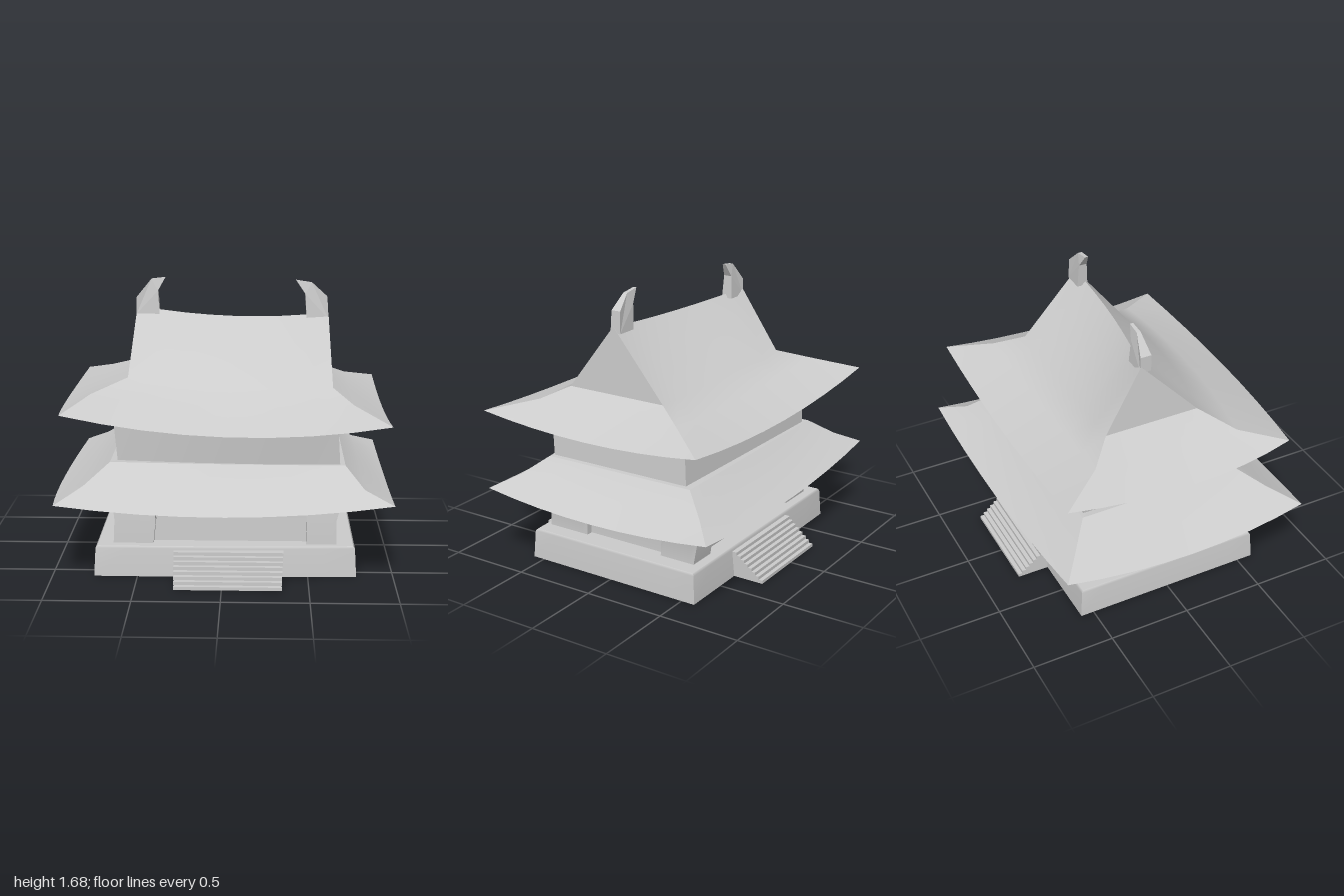
import * as THREE from 'three';

const material = new THREE.MeshStandardMaterial({ color: 0xcccccc, side: THREE.DoubleSide });
const V = (p) => new THREE.Vector3(...p);

// Ring of 8 points: frontLeft, front, frontRight, right, backRight, back, backLeft, left.
// Middle points default to the average of their corners.
function ring(corners, mids = []) {
  const out = [];
  corners.forEach((c, i) => {
    const a = V(c), b = V(corners[(i + 1) % 4]);
    out.push(a, mids[i] ? V(mids[i]) : a.clone().add(b).multiplyScalar(0.5));
  });
  return out;
}

// Level rectangular ring
const rect = (x0, x1, zFront, zBack, y) =>
  ring([[x0, y, zFront], [x1, y, zFront], [x1, y, zBack], [x0, y, zBack]]);

// Smooth sheet through rows of [left, middle, right], each row a parabola
function panel(rows, cols = 8) {
  const pos = [], idx = [];
  rows.forEach(([l, m, r]) => {
    for (let i = 0; i <= cols; i++) {
      const t = (i / cols) * 2 - 1;
      const p = l.clone().multiplyScalar((t * (t - 1)) / 2)
        .addScaledVector(m, 1 - t * t).addScaledVector(r, (t * (t + 1)) / 2);
      pos.push(p.x, p.y, p.z);
    }
  });
  for (let j = 0; j < rows.length - 1; j++) {
    for (let i = 0; i < cols; i++) {
      const a = j * (cols + 1) + i, b = a + 1, c = a + cols + 1, d = c + 1;
      idx.push(a, b, d, a, d, c);
    }
  }
  const g = new THREE.BufferGeometry();
  g.setAttribute('position', new THREE.Float32BufferAttribute(pos, 3));
  g.setIndex(idx);
  g.computeVertexNormals();
  return g;
}

function add(parent, name, geometry) {
  const mesh = new THREE.Mesh(geometry, material);
  mesh.name = name;
  parent.add(mesh);
  return mesh;
}

const side = (r, i) => [r[2 * i], r[2 * i + 1], r[(2 * i + 2) % 8]];

// Four panels joining a stack of rings, with sharp corners between them
function loft(parent, name, rings, cap = false) {
  const group = new THREE.Group();
  group.name = name;
  parent.add(group);
  ['Front', 'Right', 'Back', 'Left'].forEach((s, i) =>
    add(group, name + s, panel(rings.map((r) => side(r, i)))));
  if (cap) {
    const lid = (r) => panel([side(r, 0), [r[6], r[5], r[4]]]);
    add(group, name + 'Top', lid(rings[rings.length - 1]));
    const b = rings[0];
    add(group, name + 'Bottom', panel([[b[6], b[5], b[4]], side(b, 0)]));
  }
  return group;
}

// Flight of steps as closed boxes; dir is +1 for front, -1 for back
function stairs(parent, name, zWall, zEnd, dir) {
  const group = new THREE.Group();
  group.name = name;
  parent.add(group);
  const n = 8, h = 0.16 / n, run = (zEnd - zWall) / n;
  for (let i = 0; i < n; i++) {
    const depth = run * (n - i) + 0.06, w = 0.62 + 0.003 * i;
    const step = add(group, 'step', new THREE.BoxGeometry(w, h, depth));
    step.position.set(0.035, h * (i + 0.5), dir * (zWall - 0.06 + depth / 2));
  }
}

// Curled ridge ornament, narrowing toward its tip
function ornament(parent, name, pts, z) {
  const shape = new THREE.Shape(pts.map((p) => new THREE.Vector2(...p)));
  const g = new THREE.ExtrudeGeometry(shape, { depth: 1, bevelEnabled: false });
  const p = g.attributes.position;
  for (let i = 0; i < p.count; i++) {
    const k = THREE.MathUtils.clamp((p.getY(i) - 1.56) / 0.12, 0, 1);
    p.setZ(i, z + (p.getZ(i) - 0.5) * THREE.MathUtils.lerp(0.068, 0.02, k));
  }
  g.computeVertexNormals();
  add(parent, name, g);
}

export function createModel() {
  const model = new THREE.Group();
  model.name = 'templeHall';

  // Stone base and stairs
  const baseRing = (y, s) => ring(
    [[-0.755 + s, y, 0.6 - s], [0.785 - s, y, 0.575 - s], [0.785 - s, y, -0.585 + s], [-0.755 + s, y, -0.58 + s]],
    [[0.03, y, 0.6 - s]]);
  loft(model, 'base', [baseRing(0, 0), baseRing(0.17, 0.01), baseRing(0.182, 0.02)], true);
  stairs(model, 'frontStairs', 0.6, 0.82, 1);
  stairs(model, 'backStairs', 0.58, 0.775, -1);

  // Lower walls, recessed between four waisted corner piers
  loft(model, 'lowerWall', [
    rect(-0.6, 0.63, 0.475, -0.46, 0.17),
    rect(-0.595, 0.625, 0.47, -0.48, 0.32),
    rect(-0.605, 0.65, 0.465, -0.485, 0.48),
  ]);
  const levels = [0.17, 0.32, 0.48];
  const pierX = [[[-0.645, -0.41], [-0.638, -0.395], [-0.655, -0.42]], [[0.49, 0.67], [0.495, 0.665], [0.475, 0.71]]];
  const pierZ = [[[0.53, 0.25], [0.525, 0.25], [0.51, 0.23]], [[-0.28, -0.505], [-0.285, -0.53], [-0.27, -0.535]]];
  for (const px of pierX) for (const pz of pierZ) {
    loft(model, 'cornerPier', levels.map((y, i) => rect(...px[i], ...pz[i], y)));
  }

  // Lower roof with upturned corners
  const lowerEave = ring(
    [[-0.955, 0.49, 0.8], [0.985, 0.482, 0.735], [0.98, 0.483, -0.785], [-0.95, 0.487, -0.75]],
    [[0.02, 0.437, 0.825], [0.995, 0.433, -0.02], [0.02, 0.437, -0.785], [-1, 0.444, 0.03]]);
  const lowerMiddle = ring(
    [[-0.8, 0.565, 0.65], [0.82, 0.545, 0.62], [0.82, 0.55, -0.64], [-0.8, 0.565, -0.63]],
    [[0.02, 0.535, 0.655], [0.83, 0.535, -0.01], [0.02, 0.535, -0.64], [-0.82, 0.54, 0.01]]);
  const lowerTop = ring(
    [[-0.66, 0.668, 0.5], [0.715, 0.652, 0.485], [0.715, 0.658, -0.51], [-0.66, 0.668, -0.515]],
    [[0.03, 0.665, 0.525]]);
  loft(model, 'lowerRoof', [lowerEave, lowerMiddle, lowerTop]);
  loft(model, 'lowerRoofLedge', [lowerTop, rect(-0.58, 0.62, 0.4, -0.42, 0.66)]);
  loft(model, 'lowerSoffit', [rect(-0.58, 0.6, 0.45, -0.45, 0.455), lowerEave]);

  // Upper walls, the front one bowed outward
  loft(model, 'upperWall', [
    ring([[-0.62, 0.65, 0.44], [0.685, 0.65, 0.47], [0.685, 0.65, -0.465], [-0.62, 0.65, -0.495]], [[0.04, 0.65, 0.505]]),
    ring([[-0.645, 0.94, 0.45], [0.665, 0.94, 0.5], [0.665, 0.94, -0.44], [-0.645, 0.94, -0.47]], [[0.04, 0.94, 0.535]]),
  ]);

  // Upper roof: hipped skirt below, gabled top above
  const eave = ring(
    [[-0.925, 0.987, 0.685], [0.957, 0.953, 0.77], [0.955, 0.953, -0.7], [-0.93, 0.987, -0.73]],
    [[0.03, 0.902, 0.82], [0.96, 0.903, 0.03], [0.02, 0.905, -0.715], [-0.972, 0.935, 0.02]]);
  const middle = ring(
    [[-0.775, 1.055, 0.42], [0.755, 1.018, 0.51], [0.755, 1.022, -0.45], [-0.74, 1.06, -0.47]],
    [[0.03, 1.015, 0.545], [0.765, 1.005, 0.03], [0.02, 1.015, -0.455], [-0.785, 1.03, 0]]);
  const shoulder = ring(
    [[-0.57, 1.125, 0.27], [0.64, 1.09, 0.37], [0.64, 1.09, -0.28], [-0.57, 1.125, -0.32]],
    [[0.04, 1.09, 0.395], null, [0.04, 1.09, -0.29]]);
  const ridge = [V([-0.54, 1.5, -0.085]), V([0.05, 1.46, 0.045]), V([0.62, 1.488, 0.07])];
  const ridgeBack = [...ridge].reverse();
  const skirt = [eave, middle, shoulder];
  const roof = new THREE.Group();
  roof.name = 'upperRoof';
  model.add(roof);
  [ridge, null, ridgeBack, null].forEach((top, i) => {
    const rows = skirt.map((r) => side(r, i));
    if (top) rows.push(top);
    add(roof, top ? 'mainSlope' : 'endSlope', panel(rows));
  });
  add(roof, 'rightGable', panel([side(shoulder, 1), [ridge[2], ridge[2], ridge[2]]]));
  add(roof, 'leftGable', panel([side(shoulder, 3), [ridge[0], ridge[0], ridge[0]]]));
  loft(model, 'upperSoffit', [rect(-0.6, 0.63, 0.42, -0.42, 0.925), eave]);

  // Ridge-end ornaments
  ornament(model, 'leftRidgeOrnament',
    [[-0.54, 1.46], [-0.4, 1.46], [-0.41, 1.6], [-0.365, 1.68], [-0.45, 1.67], [-0.54, 1.56]], -0.055);
  ornament(model, 'rightRidgeOrnament',
    [[0.49, 1.45], [0.62, 1.45], [0.612, 1.58], [0.52, 1.665], [0.425, 1.68], [0.48, 1.6]], 0.055);

  return model;
}
